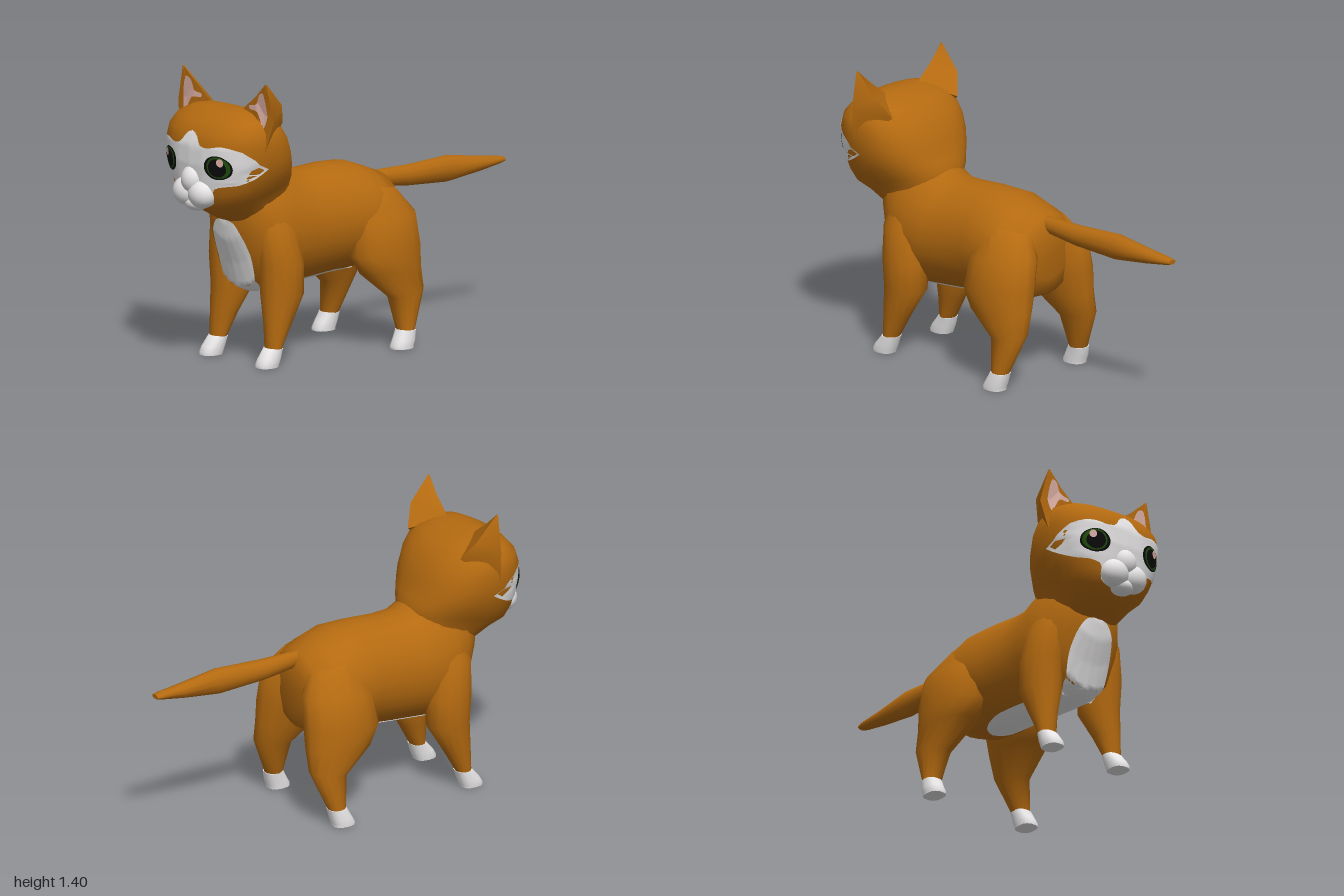
import * as THREE from 'three';
import { toCreasedNormals } from 'three/addons/utils/BufferGeometryUtils.js';

const material = (name, color) => {
  const m = new THREE.MeshStandardMaterial({ color });
  m.name = name;
  return m;
};

// Closed skin over a list of loops (arrays of Vector3), turned outwards by its signed volume
function skin(loops, crease = 1.0) {
  const n = loops[0].length, last = loops.length - 1;
  const points = loops.flat();
  for (const loop of [loops[0], loops[last]]) {
    points.push(loop.reduce((s, p) => s.add(p), new THREE.Vector3()).divideScalar(n));
  }
  const faces = [], start = points.length - 2, end = points.length - 1;
  for (let j = 0; j < n; j++) {
    const k = (j + 1) % n;
    for (let i = 0; i < last; i++) {
      const a = i * n + j, b = i * n + k, c = a + n, d = b + n;
      faces.push([a, b, d], [a, d, c]);
    }
    faces.push([start, k, j], [end, last * n + j, last * n + k]);
  }
  const volume = faces.reduce((s, [a, b, c]) =>
    s + points[a].dot(new THREE.Vector3().crossVectors(points[b], points[c])), 0);
  const index = faces.flatMap(([a, b, c]) => (volume > 0 ? [a, b, c] : [a, c, b]));
  const geo = new THREE.BufferGeometry().setFromPoints(points);
  geo.setIndex(index);
  return toCreasedNormals(geo, crease);
}

// Rings spanning two profile points; section = [z1, y1, z2, y2, halfWidth, centreX]
function loft(sections, sides, side = 1, power = 2) {
  const round = v => Math.sign(v) * Math.abs(v) ** (2 / power);
  return skin(sections.map(([z1, y1, z2, y2, w, cx = 0]) =>
    Array.from({ length: sides }, (_, i) => {
      const a = (i / sides) * Math.PI * 2, t = (1 + round(Math.sin(a))) / 2;
      return new THREE.Vector3(side * (cx + w * round(Math.cos(a))), y1 + (y2 - y1) * t, z1 + (z2 - z1) * t);
    })));
}

// Thin painted patch: an outline projected on targets from the front (x, y) or below (x, z)
function patch(outline, [cu, cv], targets, lift, below = false) {
  const curve = new THREE.CatmullRomCurve3(
    outline.map(([u, v]) => new THREE.Vector3(u, v, 0)), true, 'catmullrom', 0.4);
  const edge = curve.getSpacedPoints(64).slice(0, 64);
  if (THREE.ShapeUtils.isClockWise(edge)) edge.reverse();
  const ray = new THREE.Raycaster(), rings = 12, pos = [], index = [];
  const project = (du, dv) => {
    for (let t = 1; t >= 0; t -= 0.02) {
      const u = cu + du * t, v = cv + dv * t;
      if (below) ray.set(new THREE.Vector3(u, -1, v), new THREE.Vector3(0, 1, 0));
      else ray.set(new THREE.Vector3(u, v, 3), new THREE.Vector3(0, 0, -1));
      const hit = ray.intersectObjects(targets)[0];
      if (hit) return hit.point.addScaledVector(hit.face.normal, lift);
    }
    return new THREE.Vector3(cu, cv, 0);
  };
  pos.push(...project(0, 0).toArray());
  for (let r = 1; r <= rings; r++) {
    edge.forEach((p, j) => {
      const s = r / rings, k = (j + 1) % 64, a = 1 + (r - 1) * 64;
      pos.push(...project((p.x - cu) * s, (p.y - cv) * s).toArray());
      if (r === 1) index.push(0, 1 + j, 1 + k);
      else index.push(a - 64 + j, a + j, a + k, a - 64 + j, a + k, a - 64 + k);
    });
  }
  const geo = new THREE.BufferGeometry();
  geo.setAttribute('position', new THREE.Float32BufferAttribute(pos, 3));
  geo.setIndex(index);
  geo.computeVertexNormals();
  return geo;
}

const mirrored = half => [...half, ...half.slice(1, -1).reverse().map(([u, v]) => [-u, v])];
const ellipse = (cx, cy, rx, ry) => Array.from({ length: 16 }, (_, i) =>
  [cx + rx * Math.cos(i * Math.PI / 8), cy + ry * Math.sin(i * Math.PI / 8)]);

export function createModel() {
  const model = new THREE.Group();
  const orange = material('orangeFur', 0xb46a10);
  const white = material('whiteFur', 0xf0eeee);
  const pink = material('pinkSkin', 0xdcb0a6);
  const green = material('greenIris', 0x1f4f0c);
  const black = material('blackEye', 0x0b0b0b);
  for (const m of [white, pink, green, black]) m.side = THREE.DoubleSide;
  const add = (name, geo, mat) => {
    const mesh = new THREE.Mesh(geo, mat);
    mesh.name = name;
    model.add(mesh);
    return mesh;
  };

  // Trunk, from rump to chest
  const body = add('body', loft([
    [-0.22, 0.50, -0.23, 0.74, 0.12], [-0.20, 0.42, -0.20, 0.81, 0.20],
    [-0.10, 0.38, -0.10, 0.85, 0.255], [0.02, 0.37, 0, 0.885, 0.26],
    [0.15, 0.365, 0.13, 0.892, 0.235], [0.30, 0.35, 0.28, 0.885, 0.222],
    [0.45, 0.34, 0.38, 0.89, 0.23], [0.58, 0.33, 0.45, 0.93, 0.24],
    [0.655, 0.36, 0.53, 0.95, 0.228], [0.69, 0.48, 0.62, 0.95, 0.20],
    [0.735, 0.60, 0.68, 0.92, 0.155], [0.75, 0.69, 0.72, 0.85, 0.08],
  ], 24), orange);

  // Neck and head, from throat to crown
  const head = add('head', loft([
    [0.74, 0.69, 0.42, 0.80, 0.17], [0.85, 0.75, 0.41, 0.88, 0.20],
    [0.92, 0.79, 0.415, 0.91, 0.235], [0.945, 0.85, 0.43, 0.95, 0.265],
    [0.955, 0.92, 0.445, 0.98, 0.29], [0.965, 1.00, 0.46, 1.03, 0.305],
    [0.965, 1.09, 0.49, 1.10, 0.312], [0.945, 1.15, 0.53, 1.16, 0.302],
    [0.90, 1.20, 0.58, 1.205, 0.27], [0.83, 1.24, 0.65, 1.235, 0.20],
    [0.78, 1.255, 0.70, 1.25, 0.12],
  ], 28, 1, 2.4), orange);

  add('tail', loft([
    [-0.20, 0.73, -0.20, 0.81, 0.03], [-0.40, 0.705, -0.40, 0.808, 0.045],
    [-0.65, 0.69, -0.65, 0.82, 0.046], [-0.85, 0.715, -0.85, 0.788, 0.038],
    [-0.97, 0.735, -0.97, 0.772, 0.031], [-1.0, 0.742, -1.0, 0.765, 0.024],
  ], 12), orange);

  const frontLegs = [];
  for (const [side, label] of [[1, 'left'], [-1, 'right']]) {
    // Legs with white paws
    frontLegs.push(add(label + 'FrontLeg', loft([
      [0.65, 0.75, 0.49, 0.77, 0.05, 0.14], [0.67, 0.64, 0.46, 0.66, 0.085, 0.165],
      [0.66, 0.49, 0.43, 0.48, 0.10, 0.18], [0.65, 0.34, 0.43, 0.335, 0.095, 0.18],
      [0.65, 0.20, 0.51, 0.20, 0.065, 0.194], [0.65, 0.085, 0.575, 0.085, 0.047, 0.20],
    ], 14, side), orange));
    add(label + 'FrontPaw', loft([
      [0.652, 0.09, 0.573, 0.085, 0.048, 0.20], [0.695, 0.04, 0.585, 0.04, 0.049, 0.203],
      [0.71, 0.015, 0.595, 0.015, 0.049, 0.203], [0.71, 0, 0.60, 0, 0.047, 0.203],
    ], 14, side, 2.6), white);
    add(label + 'HindLeg', loft([
      [0.04, 0.79, -0.20, 0.75, 0.07, 0.13], [0.10, 0.62, -0.272, 0.64, 0.125, 0.18],
      [0.12, 0.46, -0.28, 0.50, 0.13, 0.205], [0.07, 0.37, -0.28, 0.38, 0.105, 0.22],
      [-0.08, 0.245, -0.278, 0.28, 0.072, 0.243], [-0.108, 0.085, -0.195, 0.085, 0.046, 0.276],
    ], 14, side), orange);
    add(label + 'HindPaw', loft([
      [-0.107, 0.09, -0.197, 0.085, 0.047, 0.277], [-0.08, 0.04, -0.19, 0.04, 0.048, 0.283],
      [-0.065, 0.015, -0.18, 0.015, 0.048, 0.284], [-0.065, 0, -0.178, 0, 0.047, 0.284],
    ], 14, side, 2.6), white);

    // Ears: outer, front, inner and back corner of each loop
    const ear = add(label + 'Ear', skin([
      [[0.305, 1.05, 0.76], [0.25, 1.17, 0.75], [0.11, 1.245, 0.73], [0.23, 1.18, 0.58]],
      [[0.347, 1.225, 0.735], [0.28, 1.25, 0.735], [0.215, 1.325, 0.735], [0.29, 1.28, 0.635]],
      [[0.302, 1.398, 0.746], [0.299, 1.397, 0.747], [0.296, 1.396, 0.746], [0.299, 1.4, 0.742]],
    ].map(loop => loop.map(([x, y, z]) => new THREE.Vector3(x * side, y, z)))), orange);
    const flip = pts => pts.map(([u, v]) => [u * side, v]);
    add(label + 'InnerEar', patch(flip([
      [0.28, 1.35], [0.25, 1.34], [0.225, 1.29], [0.175, 1.278], [0.18, 1.26],
      [0.235, 1.255], [0.27, 1.2], [0.29, 1.185], [0.305, 1.24], [0.295, 1.31],
    ]), [0.265 * side, 1.275], [ear, head], 0.005), pink);

    // Eyes, painted in layers
    const layers = [
      ['EyeRim', ellipse(0.166, 0.998, 0.067, 0.058), 0.006, black],
      ['Iris', ellipse(0.17, 1.0, 0.055, 0.052), 0.0075, green],
      ['Pupil', ellipse(0.167, 0.998, 0.042, 0.044), 0.009, black],
      ['EyeGlint', ellipse(0.184, 1.025, 0.017, 0.02), 0.0105, pink],
    ];
    for (const [name, outline, lift, mat] of layers) {
      const centre = name === 'EyeGlint' ? [0.184 * side, 1.025] : [0.167 * side, 0.998];
      add(label + name, patch(flip(outline), centre, [head], lift, false), mat);
    }
  }

  // White face mask, chest bib and belly
  add('faceMask', patch(mirrored([
    [0, 1.155], [0.035, 1.14], [0.07, 1.095], [0.12, 1.088], [0.19, 1.1], [0.265, 1.082],
    [0.295, 1.035], [0.298, 0.99], [0.28, 0.945], [0.24, 0.915], [0.175, 0.903],
    [0.14, 0.89], [0.125, 0.86], [0.12, 0.82], [0.08, 0.795], [0, 0.79],
  ]), [0, 0.98], [head], 0.004), white);
  add('chestBib', patch(mirrored([
    [0, 0.7], [0.06, 0.688], [0.1, 0.63], [0.12, 0.53], [0.115, 0.42], [0.088, 0.335], [0, 0.33],
  ]), [0, 0.52], [body, ...frontLegs], 0.005), white);
  add('belly', patch(mirrored([
    [0, 0.655], [0.08, 0.64], [0.1, 0.5], [0.11, 0.3], [0.1, 0.1], [0.06, 0], [0, -0.03],
  ]), [0, 0.32], [body], 0.005, true), white);

  // Muzzle: two cheeks, nose bridge and chin
  for (const [name, x, y, z, rx, ry, rz] of [
    ['leftCheek', 0.055, 0.855, 0.932, 0.075, 0.07, 0.066],
    ['rightCheek', -0.055, 0.855, 0.932, 0.075, 0.07, 0.066],
    ['noseBridge', 0, 0.92, 0.94, 0.062, 0.07, 0.06],
    ['chin', 0, 0.805, 0.92, 0.065, 0.04, 0.055],
  ]) {
    const part = add(name, new THREE.SphereGeometry(1, 20, 14), white);
    part.position.set(x, y, z);
    part.scale.set(rx, ry, rz);
  }
  return model;
}
